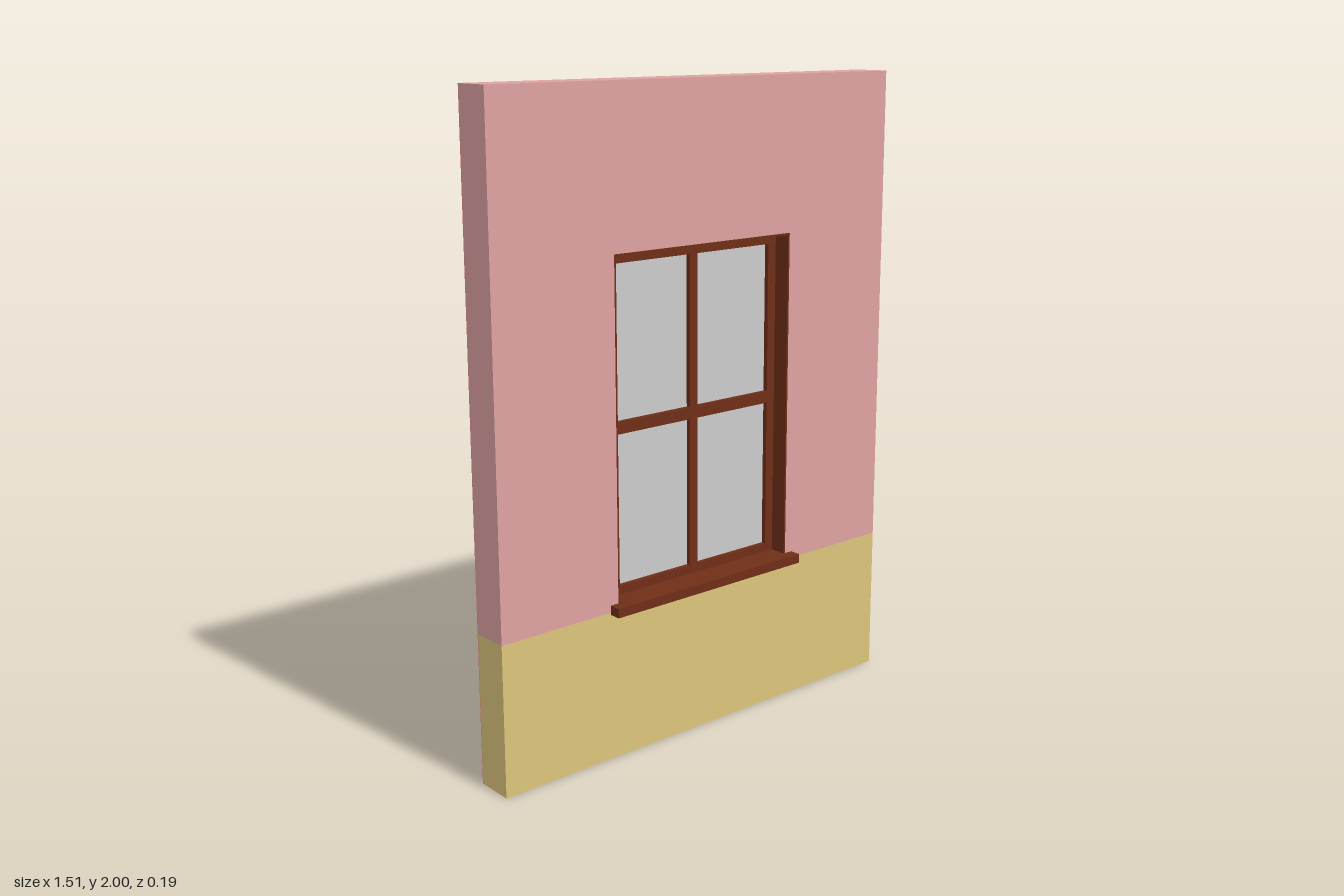
import * as THREE from 'three';

const paint = (color) => new THREE.MeshStandardMaterial({ color });
const plaster = paint(0xdea2a2);
const ochre = paint(0xdcc67c);
const brick = paint(0xf98b8b);
const wood = paint(0x6f2e17);
const glassGrey = paint(0xcccccc);

const W = 0.755, FRONT = 0.057, BACK = -0.064;
const OPEN = { x: 0.341, y0: 0.475, y1: 1.524 };

// box given by its limits on each axis
function box(name, material, [x0, x1], [y0, y1], [z0, z1]) {
  const mesh = new THREE.Mesh(new THREE.BoxGeometry(x1 - x0, y1 - y0, z1 - z0), material);
  mesh.position.set((x0 + x1) / 2, (y0 + y1) / 2, (z0 + z1) / 2);
  mesh.name = name;
  return mesh;
}

// upright slab with the window opening cut through it
function slab(name, material, y0, z0, z1) {
  const shape = new THREE.Shape([[-W, y0], [W, y0], [W, 2], [-W, 2]].map(p => new THREE.Vector2(...p)));
  const { x, y0: a, y1: b } = OPEN;
  shape.holes.push(new THREE.Path([[-x, a], [-x, b], [x, b], [x, a]].map(p => new THREE.Vector2(...p))));
  const mesh = new THREE.Mesh(
    new THREE.ExtrudeGeometry(shape, { depth: z1 - z0, bevelEnabled: false }), material);
  mesh.position.z = z0;
  mesh.name = name;
  return mesh;
}

function createWall() {
  const wall = new THREE.Group();
  wall.name = 'wall';
  const skin = BACK + 0.002;
  wall.add(
    box('plinth', ochre, [-W, W], [0, 0.467], [skin, FRONT]),
    slab('plasterWall', plaster, 0.467, skin, FRONT),
    slab('backFace', brick, 0, BACK, skin));
  return wall;
}

function createWindow() {
  const win = new THREE.Group();
  win.name = 'window';
  const sillTop = 0.489, top = OPEN.y1, x = OPEN.x;
  const through = [BACK, FRONT], sash = [-0.035, 0.002];

  // sill board running through the wall
  win.add(box('sill', wood, [-0.369, 0.369], [0.46, sillTop], [-0.094, 0.094]));

  // thin lining of the opening
  for (const s of [-1, 1]) {
    const edge = [s * x, s * (x - 0.006)].sort((a, b) => a - b);
    win.add(box('liningSide', wood, edge, [sillTop, top], through));
  }
  win.add(box('liningTop', wood, [-x, x], [top - 0.006, top], through));

  // sash frame
  for (const s of [-1, 1]) {
    const stile = [s * x, s * (x - 0.037)].sort((a, b) => a - b);
    win.add(box('stile', wood, stile, [sillTop, top], sash));
  }
  win.add(
    box('topRail', wood, [-0.31, 0.31], [top - 0.037, top], sash),
    box('bottomRail', wood, [-0.31, 0.31], [sillTop, 0.516], sash),
    box('mullion', wood, [-0.015, 0.015], [0.51, 1.49], sash),
    box('crossBar', wood, [-0.31, 0.31], [0.984, 1.021], sash),
    box('glass', glassGrey, [-0.31, 0.31], [0.51, 1.49], [-0.02, -0.013]));
  return win;
}

function createBricks() {
  const bricks = new THREE.Group();
  bricks.name = 'exposedBricks';
  // each row: centre height, then the x limits of its bricks
  const rows = [
    [1.779, [-0.667, -0.504]],
    [1.672, [-0.58, -0.413]],
    [0.675, [0.5, 0.667], [0.385, 0.49]],
    [0.564, [0.43, 0.6]],
    [0.457, [0.52, 0.687], [0.405, 0.512]],
    [0.352, [0.423, 0.59], [0.318, 0.415]],
    [0.253, [-0.46, -0.298], [-0.573, -0.468]],
    [0.154, [-0.525, -0.36]],
  ];
  for (const [y, ...spans] of rows)
    for (const span of spans)
      bricks.add(box('brick', brick, span, [y - 0.045, y + 0.045], [-0.087, BACK + 0.001]));
  return bricks;
}

export function createModel() {
  const model = new THREE.Group();
  model.name = 'wallWithWindow';
  model.add(createWall(), createWindow(), createBricks());
  return model;
}
